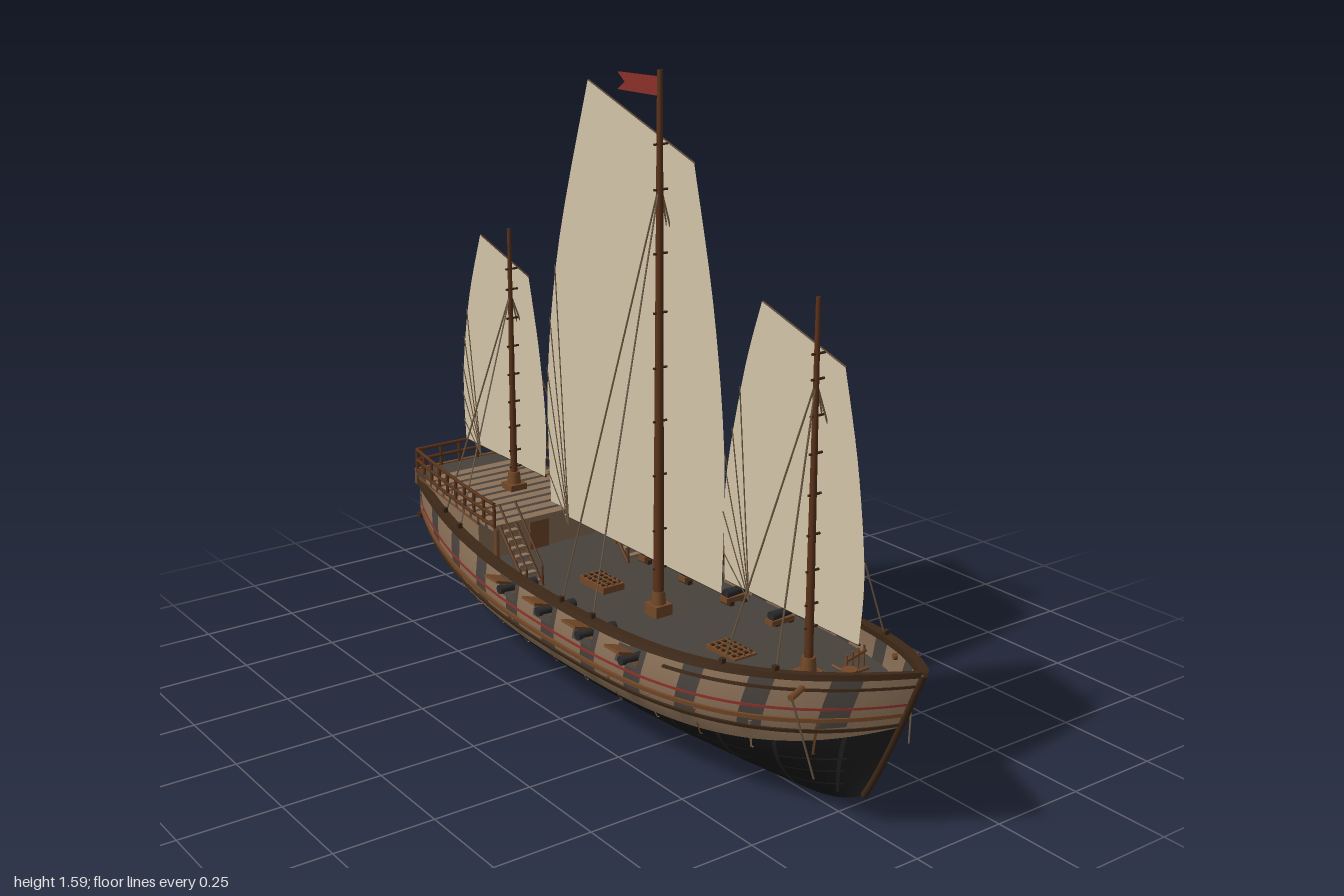
import * as THREE from 'three';
import { toCreasedNormals } from 'three/addons/utils/BufferGeometryUtils.js';

const mat = (name, color) => new THREE.MeshStandardMaterial({ name, color, side: THREE.DoubleSide });
const V = (x, y, z) => new THREE.Vector3(x, y, z);

// Hull rule: s runs stern to bow, t runs keel to sheer
const sheer = (z) => 0.312 + (z > 0 ? 0.118 * z ** 2.2 : 0.045 * (-z / 0.91) ** 2.5);
const beamAt = (z) => 0.266 * (z > 0 ? 1 - Math.min(z, 1) ** 3.2 : 1 - 0.5 * (-z / 0.91) ** 2.2);
function hullPoint(s, t, off = 0, side = 1) {
  const zs = -0.91 + 1.91 * s, keel = 0.005 + 0.075 * Math.abs(2 * s - 1) ** 7;
  const tc = Math.max(t, 0);
  const f = t < 0.72 ? Math.sin((Math.PI / 2) * (tc / 0.72)) ** 0.85 : 1 - 0.05 * ((t - 0.72) / 0.28) ** 2;
  const z0 = -0.78 - 0.13 * tc ** 0.7, z1 = 0.83 + 0.165 * tc ** 0.9;
  return V(side * Math.max(0, beamAt(zs) * f + off), keel + (sheer(zs) - keel) * t, z0 + (z1 - z0) * s);
}
const sAt = (z) => (z + 0.9) / 1.88;

export function createModel() {
  const ship = new THREE.Group();
  ship.name = 'junkShip';
  const black = mat('tarredHull', 0x1a1a1a), grey = mat('weatheredGrey', 0x48423d);
  const tan = mat('paleWood', 0x8a7057), brown = mat('brownWood', 0x734828);
  const dark = mat('darkWood', 0x3d2817), mahogany = mat('mahogany', 0x5a3219);
  const sailMat = mat('canvas', 0xd4c4a8), red = mat('redPaint', 0x8b3028);
  const iron = mat('iron', 0x2a2a2c), rope = mat('rope', 0x6a5640);

  const add = (name, geo, m) => {
    const mesh = new THREE.Mesh(geo, m);
    mesh.name = name;
    ship.add(mesh);
    return mesh;
  };
  const box = (name, m, w, h, d, x, y, z) => {
    const b = add(name, new THREE.BoxGeometry(w, h, d), m);
    b.position.set(x, y, z);
    return b;
  };
  const beam = (name, m, a, b, r, r2 = r, n = 6) => {
    const c = add(name, new THREE.CylinderGeometry(r2, r, a.distanceTo(b), n), m);
    c.position.copy(a).lerp(b, 0.5);
    c.quaternion.setFromUnitVectors(V(0, 1, 0), b.clone().sub(a).normalize());
    return c;
  };
  const gridMesh = (name, m, point, ns, nt, side, keep = () => true) => {
    const pos = [], idx = [];
    for (let j = 0; j <= nt; j++) for (let i = 0; i <= ns; i++) pos.push(...point(i, j).toArray());
    for (let j = 0; j < nt; j++) for (let i = 0; i < ns; i++) {
      if (!keep(i, j)) continue;
      const a = j * (ns + 1) + i, b = a + 1, d = a + ns + 1, c = d + 1;
      idx.push(...(side > 0 ? [a, d, b, b, d, c] : [a, b, d, b, c, d]));
    }
    const g = new THREE.BufferGeometry();
    g.setAttribute('position', new THREE.Float32BufferAttribute(pos, 3));
    g.setIndex(idx);
    return add(name, toCreasedNormals(g, 0.6), m);
  };
  // Skin over the hull through rows of [t or t(s), outward offset]
  const skin = (name, m, rows, side, keep, s0 = 0, s1 = 1, ns = 96) => gridMesh(name, m, (i, j) => {
    const s = s0 + ((s1 - s0) * i) / ns, [t, off] = rows[j];
    return hullPoint(s, typeof t === 'function' ? t(s) : t, off, side);
  }, ns, rows.length - 1, side, keep);
  const strip = (t0, t1, off, back = 0) => [[t0, back], [t0, off], [t1, off], [t1, back], [t0, back]];

  // Hull sides, with gun ports left open in the bulwark
  const ports = [0.3, 0.122, -0.053, -0.23];
  const waterline = (s) => 0.46 + 0.13 * Math.abs(2 * s - 1) ** 3;
  const lower = [], upper = [];
  for (let k = 0; k <= 8; k++) lower.push([(s) => (waterline(s) * k) / 8, 0]);
  for (const k of [0, 0.33, 0.66, 1]) upper.push([(s) => waterline(s) + (0.81 - waterline(s)) * k, 0]);
  upper.push([0.96, 0], [1, 0]);
  const isPort = (i, j) => j === 3 && ports.some((z) => Math.abs((i + 0.5) / 96 - sAt(z)) < 0.019);
  const isGrey = (i, j) => j > 0 && (i + 2) % 9 < 3;
  for (const side of [1, -1]) {
    skin('lowerHull', black, lower, side);
    skin('hullPlanks', tan, upper, side, (i, j) => !isPort(i, j) && !isGrey(i, j));
    skin('weatheredPlanks', grey, upper, side, (i, j) => !isPort(i, j) && isGrey(i, j));
    skin('lowerWale', dark, strip(0.6, 0.625, 0.007), side);
    skin('middleWale', brown, strip(0.68, 0.71, 0.008), side);
    skin('redStripe', red, strip(0.765, 0.783, 0.0025), side);
    skin('topRail', dark, strip(0.985, 1.03, 0.01, -0.014), side);
    skin('bowStrake', dark, strip(0.905, 0.925, 0.005), side, undefined, 0.7, 1, 30);
    for (const t of [0.14, 0.26, 0.37])
      skin('hullSeam', iron, [[t, 0.0025], [t + 0.012, 0.0025]], side, (i) => i % 12 < 8);
    for (let i = 0; i < 12; i++) {
      const s = 0.06 + i * 0.078;
      skin('hullRib', i % 2 ? brown : tan, strip(0.42, 0.66, 0.005), side, undefined, s, s + 0.003, 1);
      const streak = lower.slice(1).map(([t]) => [t, 0.003]);
      skin('hullStreak', iron, streak, side, undefined, s + 0.03, s + 0.035, 1);
    }
  }
  // Transom, deck and stem
  const across = (t) => (i, j) => hullPoint(0, t(j), 0, i ? 1 : -1);
  gridMesh('lowerTransom', black, across((j) => (0.56 * j) / 8), 1, 8, 1);
  gridMesh('upperTransom', tan, across((j) => 0.56 + 0.055 * j), 1, 8, 1);
  gridMesh('mainDeck', grey, (i, j) => hullPoint(i / 96, 0.79, -0.002, j ? 1 : -1), 96, 1, -1);
  const stem = [];
  for (let k = 0; k <= 8; k++) stem.push(hullPoint(1, k / 8));
  add('stemPost', new THREE.TubeGeometry(new THREE.CatmullRomCurve3(stem), 12, 0.008, 6), dark);
  box('transomBoard', brown, 0.28, 0.045, 0.012, 0, 0.37, -0.903);
  box('transomBeam', dark, 0.28, 0.012, 0.018, 0, 0.255, -0.895);
  for (const x of [-0.065, 0.065]) {
    box('sternWindowFrame', brown, 0.06, 0.05, 0.009, x, 0.32, -0.911);
    box('sternWindow', tan, 0.04, 0.032, 0.009, x, 0.32, -0.913);
  }

  // Rudder
  const blade = new THREE.Shape();
  blade.moveTo(-0.885, 0.065).lineTo(-0.975, 0.058).quadraticCurveTo(-1, 0.06, -1, 0.1);
  blade.lineTo(-1, 0.24).quadraticCurveTo(-0.985, 0.29, -0.945, 0.29).lineTo(-0.905, 0.24);
  const rudderGeo = new THREE.ExtrudeGeometry(blade, { depth: 0.018, bevelEnabled: false, curveSegments: 6 });
  add('rudder', rudderGeo.rotateY(-Math.PI / 2).translate(0.009, 0, 0), brown);
  beam('rudderStock', dark, V(0, 0.1, -0.885), V(0, 0.3, -0.905), 0.008);

  // Guns and raised port lids
  for (const side of [1, -1]) for (const z of ports) {
    beam('gunBarrel', iron, V(side * 0.17, 0.277, z), V(side * 0.272, 0.28, z), 0.013, 0.009, 10);
    beam('gunMuzzle', iron, V(side * 0.268, 0.28, z), V(side * 0.28, 0.28, z), 0.012, 0.012, 10);
    box('gunCarriage', brown, 0.07, 0.014, 0.028, side * 0.2, 0.262, z);
    for (const dx of [-0.022, 0.022]) box('carriageWheels', dark, 0.014, 0.012, 0.04, side * 0.2 + dx, 0.254, z);
    box('portLid', brown, 0.045, 0.007, 0.058, side * 0.283, 0.309, z).rotation.z = side * 0.3;
  }

  // Raised stern deck with cabin, striped planks, stairs and rails
  const halfW = (z) => 0.205 - 0.065 * ((-0.37 - z) / 0.53) ** 1.4;
  const slab = (z0, z1, y0, y1, inset) => {
    const w0 = halfW(z0) - inset, w1 = halfW(z1) - inset;
    const g = new THREE.BoxGeometry(2, y1 - y0, z0 - z1).translate(0, (y0 + y1) / 2, (z0 + z1) / 2);
    const p = g.attributes.position;
    for (let i = 0; i < p.count; i++) p.setX(i, p.getX(i) * (p.getZ(i) > (z0 + z1) / 2 ? w0 : w1));
    g.computeVertexNormals();
    return g;
  };
  add('cabin', slab(-0.48, -0.9, 0.25, 0.378, 0.01), tan);
  add('cabinTrim', slab(-0.475, -0.902, 0.362, 0.372, 0.005), brown);
  box('cabinDoor', brown, 0.06, 0.09, 0.008, 0, 0.3, -0.478);
  for (let i = 0; i < 10; i++) {
    const z = -0.375 - i * 0.046;
    add('sternDeckPlank', slab(z, z - 0.031, 0.376, 0.39, 0), tan);
    add('sternDeckSeam', slab(z - 0.031, z - 0.046, 0.376, 0.39, 0), grey);
  }
  add('sternDeckEnd', slab(-0.835, -0.9, 0.376, 0.39, 0), grey);
  for (const side of [1, -1]) {
    const edge = (z, y) => V(side * (halfW(z) - 0.003), y, z);
    for (let i = 0; i <= 9; i++) {
      const z = -0.375 - i * 0.058;
      beam('railPost', mahogany, edge(z, 0.385), edge(z, 0.45), 0.0045);
      if (i < 9) for (const y of [0.39, 0.42, 0.45])
        beam('sternRail', mahogany, edge(z, y), edge(z - 0.058, y), 0.005);
    }
    beam('deckPillar', brown, V(side * 0.19, 0.25, -0.385), V(side * 0.19, 0.38, -0.385), 0.007);
    for (let i = 0; i < 7; i++)
      box('stairTread', tan, 0.042, 0.007, 0.017, side * 0.16, 0.263 + i * 0.018, -0.262 - i * 0.017);
    for (const dx of [-0.024, 0.024]) {
      const x = side * 0.16 + dx;
      beam('stairStringer', mahogany, V(x, 0.25, -0.25), V(x, 0.385, -0.378), 0.005);
      beam('stairRail', mahogany, V(x, 0.305, -0.25), V(x, 0.445, -0.378), 0.003);
      beam('stairPost', mahogany, V(x, 0.25, -0.25), V(x, 0.305, -0.25), 0.003);
    }
  }
  for (const y of [0.42, 0.45]) beam('aftRail', mahogany, V(-0.138, y, -0.897), V(0.138, y, -0.897), 0.005);
  for (let i = -2; i <= 2; i++)
    beam('railPost', mahogany, V(i * 0.06, 0.385, -0.897), V(i * 0.06, 0.45, -0.897), 0.0045);

  // Masts, battened sails and shrouds; edges are [z, y] from foot to head
  const rigs = [
    { name: 'fore', z: 0.635, base: 0.28, top: 1.165, r: 0.011, apex: 0.98, spread: 0.065,
      luff: [[0.77, 0.41], [0.78, 0.58], [0.75, 0.81], [0.7, 1.02]],
      leech: [[0.302, 0.41], [0.3, 0.65], [0.36, 0.93], [0.42, 1.11]] },
    { name: 'main', z: 0.07, base: 0.25, top: 1.59, r: 0.014, apex: 1.33, spread: 0.065,
      luff: [[0.29, 0.37], [0.295, 0.7], [0.25, 1.05], [0.17, 1.385]],
      leech: [[-0.45, 0.37], [-0.46, 0.72], [-0.4, 1.1], [-0.26, 1.535]] },
    { name: 'mizzen', z: -0.6, base: 0.38, top: 1.115, r: 0.01, apex: 0.94, spread: 0.055,
      luff: [[-0.48, 0.452], [-0.472, 0.6], [-0.5, 0.8], [-0.545, 0.99]],
      leech: [[-0.895, 0.455], [-0.9, 0.65], [-0.86, 0.87], [-0.79, 1.065]] },
  ];
  const sx = 0.024, panels = 8;
  for (const k of rigs) {
    beam(k.name + 'Mast', mahogany, V(0, k.base, k.z), V(0, k.top, k.z), k.r, k.r * 0.5, 12);
    box(k.name + 'MastCollar', brown, 0.05, 0.03, 0.05, 0, k.base + 0.012, k.z);
    beam(k.name + 'MastWedge', brown, V(0, k.base + 0.02, k.z), V(0, k.base + 0.06, k.z), 0.02, 0.016, 8);
    const [luff, leech] = [k.luff, k.leech].map((e) => new THREE.SplineCurve(e.map((p) => new THREE.Vector2(...p))));
    const shape = new THREE.Shape([...luff.getPoints(16), ...leech.getPoints(16).reverse()]);
    add(k.name + 'Sail', new THREE.ShapeGeometry(shape).rotateY(-Math.PI / 2).translate(sx, 0, 0), sailMat);
    for (let i = 0; i <= panels; i++) {
      // Battens lie on the left face of the sail, with small reef ties below them
      const a = luff.getPoint(i / panels), b = leech.getPoint(i / panels);
      beam(k.name + 'Batten', dark, V(sx + 0.003, a.y, a.x), V(sx + 0.003, b.y, b.x), 0.003);
      for (const v of i ? [0.2, 0.42, 0.6, 0.8] : []) {
        const p = a.clone().lerp(b, v);
        box('reefTie', rope, 0.003, 0.01, 0.002, sx + 0.002, p.y - 0.03, p.x);
      }
      const y = a.y + ((b.y - a.y) * (a.x - k.z)) / (a.x - b.x);
      if (y < k.top - 0.03) beam(k.name + 'BattenTie', dark, V(-k.r - 0.003, y, k.z), V(sx - 0.001, y, k.z), 0.003);
      // Sheets fan from the trailing edge
      if (i > 0 && i < 6) {
        const foot = V(0, k.luff[0][1] - 0.01, k.leech[0][0] + 0.12);
        beam(k.name + 'Sheet', rope, V(sx - 0.004, b.y, b.x), foot, 0.0015, 0.0015, 4);
      }
    }
    for (const side of [1, -1]) for (const d of [-1, 1]) {
      const foot = hullPoint(sAt(k.z + d * k.spread), 1, -0.005, side);
      beam(k.name + 'Shroud', rope, V(0, k.apex, k.z), foot, 0.0022, 0.0022, 4);
      box('shroudBlock', dark, 0.012, 0.02, 0.012, foot.x, foot.y + 0.012, foot.z);
    }
  }
  // Swallow-tailed pennant
  const flag = new THREE.Shape();
  flag.moveTo(0.07, 1.575).lineTo(-0.1, 1.572).lineTo(-0.07, 1.55).lineTo(-0.1, 1.53).lineTo(0.07, 1.53);
  add('pennant', new THREE.ShapeGeometry(flag).rotateY(-Math.PI / 2), red);

  // Deck hatches with gratings
  for (const z of [0.375, -0.16]) {
    box('hatchFrame', brown, 0.066, 0.018, 0.11, -0.012, 0.259, z);
    for (let i = 0; i < 5; i++) box('hatchSlat', dark, 0.056, 0.004, 0.008, -0.012, 0.27, z - 0.04 + i * 0.02);
    for (let i = 0; i < 3; i++) box('hatchBar', brown, 0.005, 0.005, 0.1, -0.03 + i * 0.018, 0.27, z);
  }
  // Capstan, belaying rack, catheads and hanging cables at the bow
  beam('capstan', brown, V(0, 0.29, 0.77), V(0, 0.36, 0.77), 0.024, 0.018, 10);
  for (const [c, d] of [[0.055, 0], [0, 0.055]])
    beam('capstanBar', brown, V(-c, 0.348, 0.77 - d), V(c, 0.348, 0.77 + d), 0.004);
  for (const side of [1, -1]) {
    beam('rackRail', brown, V(side * 0.07, 0.325, 0.68), V(side * 0.15, 0.325, 0.66), 0.004);
    for (let i = 0; i < 4; i++) {
      const x = side * (0.075 + i * 0.023), z = 0.679 - i * 0.006;
      beam('rackPin', brown, V(x, 0.29, z), V(x, 0.34, z), 0.003);
    }
    beam('cathead', brown, V(side * 0.13, 0.355, 0.77), V(side * 0.185, 0.35, 0.79), 0.008);
    beam('anchorCable', rope, V(side * 0.18, 0.348, 0.788), V(side * 0.14, 0.16, 0.82), 0.0025);
  }
  return ship;
}
